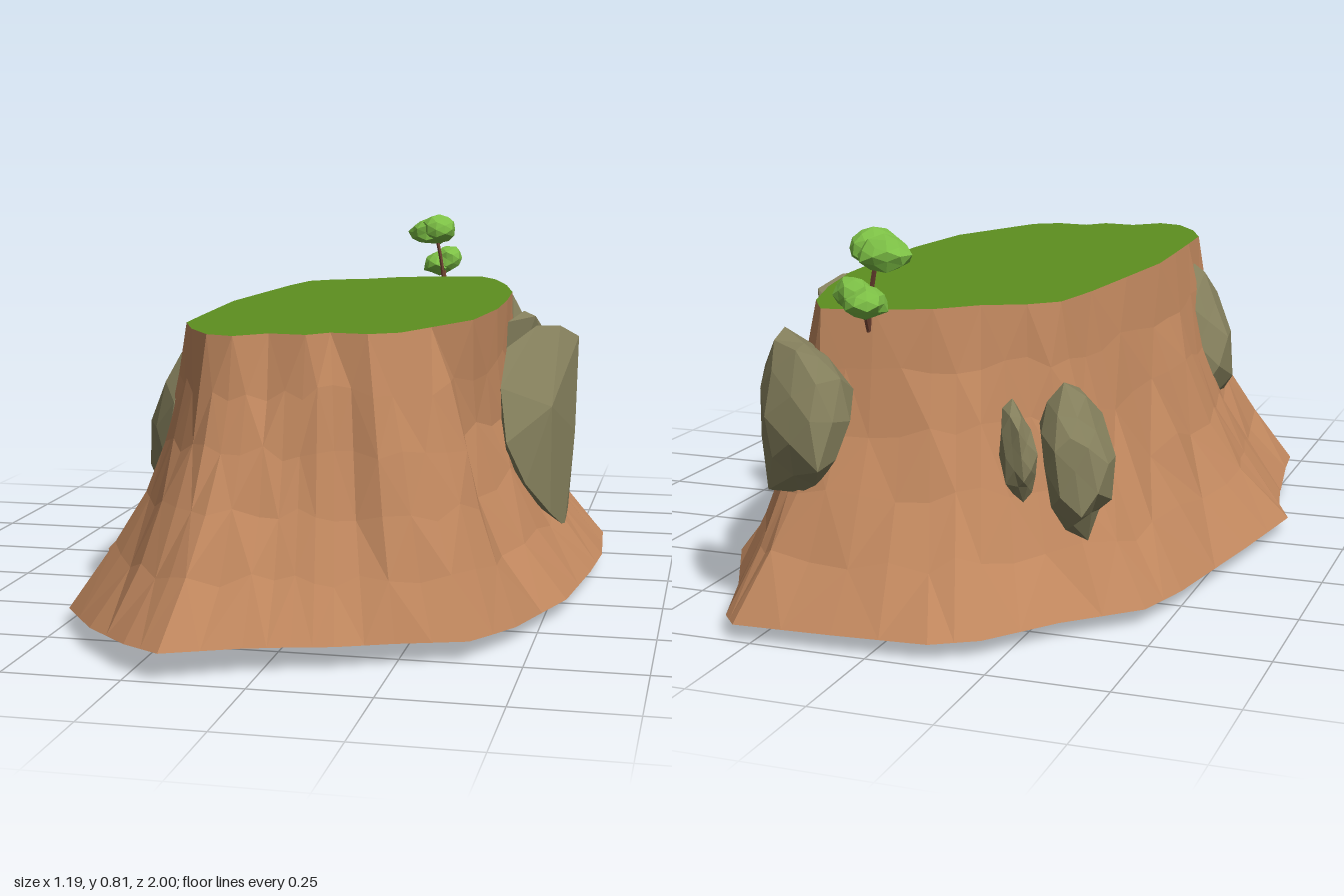
import * as THREE from 'three';
import { ConvexGeometry } from 'three/addons/geometries/ConvexGeometry.js';

const mat = (name, color, side = THREE.FrontSide) => {
  const m = new THREE.MeshStandardMaterial({ color, flatShading: true, side });
  m.name = name;
  return m;
};

// Repeatable noise in -1..1 from a position
const noise = (a, b, c = 0) => {
  const s = Math.sin(a * 127.1 + b * 311.7 + c * 74.7 + 1.3) * 43758.5453;
  return (s - Math.floor(s)) * 2 - 1;
};

// Rim columns: top x, top z, base x, base z, going round from the back
const COLUMNS = [
  [0.185, -0.78, 0.29, -0.995], [0.21, -0.74, 0.33, -0.95], [0.24, -0.69, 0.40, -0.77],
  [0.29, -0.53, 0.51, -0.555], [0.33, -0.34, 0.57, -0.34], [0.345, -0.13, 0.587, -0.10],
  [0.35, 0.08, 0.575, 0.08], [0.33, 0.32, 0.545, 0.34], [0.265, 0.48, 0.465, 0.58],
  [0.22, 0.59, 0.39, 0.735], [0.16, 0.63, 0.25, 0.795], [0.08, 0.62, 0.14, 0.855],
  [0.04, 0.67, 0.06, 0.88], [-0.04, 0.66, -0.03, 0.915], [-0.10, 0.72, -0.175, 1.0],
  [-0.16, 0.70, -0.265, 0.94], [-0.22, 0.61, -0.38, 0.82], [-0.265, 0.50, -0.49, 0.65],
  [-0.275, 0.36, -0.51, 0.44], [-0.285, 0.20, -0.555, 0.21], [-0.295, 0.03, -0.6, 0.10],
  [-0.28, -0.19, -0.56, -0.16], [-0.265, -0.40, -0.50, -0.50], [-0.245, -0.54, -0.46, -0.635],
  [-0.19, -0.595, -0.32, -0.77], [-0.105, -0.635, -0.21, -0.915], [-0.03, -0.71, -0.12, -0.97],
  [0.08, -0.755, 0.08, -0.985],
];
const TOP = 0.642;
// Flare of the cliff: drop from the top, spread towards the base
const PROFILE = [[0, 0], [0.2, 0.1], [0.4, 0.23], [0.6, 0.41], [0.8, 0.66], [1, 1]];

// Add a midpoint between neighbouring columns
const columns = COLUMNS.flatMap((c, i) => {
  const n = COLUMNS[(i + 1) % COLUMNS.length];
  return [c, c.map((v, k) => (v + n[k]) / 2)];
});

// Rim coordinate averaged with its neighbours, so notches fade down the wall
const softRim = (i, k) => {
  let sum = 0;
  for (let j = -2; j <= 2; j++) sum += columns[(i + j + columns.length) % columns.length][k];
  return sum / 5;
};

// The right side is sheer; the front right corner swells out
const bulge = i => {
  if (i >= 6 && i <= 15) return -0.14;
  if (i >= 16 && i <= 20) return 0.16;
  return 0;
};

function cliffGeometry() {
  const pos = [], index = [], n = columns.length, rings = PROFILE.length;
  PROFILE.forEach(([drop, spread], r) => {
    const soft = Math.min(1, drop * 2.5);
    columns.forEach(([tx, tz, bx, bz], i) => {
      const inner = r > 0 && r < rings - 1;
      const f = spread + bulge(i) * Math.sin(Math.PI * drop)
        + (inner ? 0.02 * noise(i, r) + 0.03 * noise(i >> 2, 9) : 0);
      const x = inner ? THREE.MathUtils.lerp(tx, softRim(i, 0), soft) : tx;
      const z = inner ? THREE.MathUtils.lerp(tz, softRim(i, 1), soft) : tz;
      // The base rises at the front and dips at one corner
      let baseY = 0.033 + 0.025 * Math.max(0, (bz - 0.6) / 0.4);
      if (bz === 0.44) baseY = 0;
      const y = TOP + (baseY - TOP) * (drop + (inner ? 0.03 * noise(r, i, 4) : 0));
      pos.push(x + (bx - x) * f, y, z + (bz - z) * f);
    });
  });
  for (let r = 0; r < rings - 1; r++) {
    for (let i = 0; i < n; i++) {
      const a = r * n + i, b = r * n + (i + 1) % n, c = a + n, d = b + n;
      if ((i + r) % 2) index.push(a, b, c, b, d, c);
      else index.push(a, b, d, a, d, c);
    }
  }
  const g = new THREE.BufferGeometry();
  g.setAttribute('position', new THREE.Float32BufferAttribute(pos, 3));
  g.setIndex(index);
  g.computeVertexNormals();
  return g;
}

// Faceted lump: a ball with uneven radii
function lump(radii, rough, seed) {
  const g = new THREE.IcosahedronGeometry(1, 1), p = g.attributes.position;
  for (let i = 0; i < p.count; i++) {
    const [x, y, z] = [p.getX(i), p.getY(i), p.getZ(i)].map(v => Math.round(v * 100) / 100);
    const k = 1 + rough * noise(x + seed, y, z);
    p.setXYZ(i, x * radii[0] * k, y * radii[1] * k, z * radii[2] * k);
  }
  g.computeVertexNormals();
  return g;
}

// Angular rock from its corner points
const hull = points => new ConvexGeometry(points.map(p => new THREE.Vector3(...p)));

function limb(points, radius) {
  const curve = new THREE.CatmullRomCurve3(points.map(p => new THREE.Vector3(...p)));
  return new THREE.TubeGeometry(curve, 5, radius, 5);
}

export function createModel() {
  const group = new THREE.Group();
  const earth = mat('earth', 0xc0875e, THREE.DoubleSide);
  const grass = mat('grass', 0x5d8f1f, THREE.DoubleSide);
  const stone = mat('stone', 0x847f5c, THREE.DoubleSide);
  const leaf = mat('leaf', 0x7cbf45);
  const bark = mat('bark', 0x6b4030);

  const add = (name, geometry, material, at = [0, 0, 0], tilt = [0, 0, 0]) => {
    const m = new THREE.Mesh(geometry, material);
    m.name = name;
    m.position.set(...at);
    m.rotation.set(...tilt);
    group.add(m);
  };

  // Hollow cliff with a flat grass top
  add('cliff', cliffGeometry(), earth);
  const outline = new THREE.Shape(columns.map(([x, z]) => new THREE.Vector2(x, -z)));
  add('grassTop', new THREE.ShapeGeometry(outline).rotateX(-Math.PI / 2), grass, [0, TOP, 0]);

  // Large boulder on the right slope, with a peak behind
  add('rightBoulder', hull([
    [0.39, 0.35, 0.20], [0.37, 0.47, 0.16], [0.37, 0.55, 0.06], [0.37, 0.45, -0.20],
    [0.40, 0.33, -0.27], [0.45, 0.21, -0.275], [0.50, 0.14, -0.13], [0.505, 0.12, 0.0],
    [0.48, 0.17, 0.09], [0.43, 0.25, 0.16], [0.43, 0.595, -0.01], [0.48, 0.59, -0.07],
    [0.52, 0.56, -0.12], [0.52, 0.34, -0.06], [0.48, 0.42, 0.09], [0.505, 0.17, -0.06],
    [0.49, 0.36, -0.19], [0.36, 0.2, 0.0], [0.35, 0.3, -0.15],
  ]), stone);
  add('rightBoulderPeak', hull([
    [0.36, 0.60, -0.03], [0.39, 0.62, -0.10], [0.37, 0.60, -0.17], [0.43, 0.56, -0.20],
    [0.42, 0.61, -0.08], [0.35, 0.4, -0.05], [0.36, 0.38, -0.24], [0.46, 0.4, -0.24],
  ]), stone);

  // Smaller boulders: name, centre, radii, tilt, seed
  const boulders = [
    ['backBoulder', [0.21, 0.43, -0.825], [0.135, 0.175, 0.085], [0.12, -0.6, 0], 5],
    ['leftFrontBoulder', [-0.285, 0.40, 0.405], [0.085, 0.185, 0.13], [0, 0.3, -0.15], 2],
    ['leftBackBoulder', [-0.32, 0.34, -0.665], [0.07, 0.145, 0.095], [0, 0.3, -0.15], 7],
    ['smallBoulder', [-0.225, 0.37, -0.745], [0.035, 0.095, 0.05], [0, 0.5, -0.1], 4],
  ];
  boulders.forEach(([name, at, radii, tilt, seed]) =>
    add(name, lump(radii, 0.18, seed), stone, at, tilt));

  // Small forked tree at the back edge
  const root = [0.085, 0.6, -0.77];
  add('trunk', limb([root, [0.075, 0.68, -0.775], [0.055, 0.77, -0.785]], 0.005), bark);
  add('branch', limb([root, [0.08, 0.65, -0.80], [0.068, 0.69, -0.84]], 0.004), bark);
  const leaves = [
    ['upperLeaves', [0.038, 0.763, -0.79], [0.056, 0.036, 0.06]],
    ['upperLeaves', [0.068, 0.773, -0.775], [0.046, 0.036, 0.052]],
    ['lowerLeaves', [0.058, 0.672, -0.84], [0.045, 0.033, 0.05]],
    ['lowerLeaves', [0.085, 0.687, -0.835], [0.036, 0.035, 0.043]],
  ];
  leaves.forEach(([name, at, radii], i) => add(name, lump(radii, 0.14, i + 6), leaf, at));

  return group;
}
